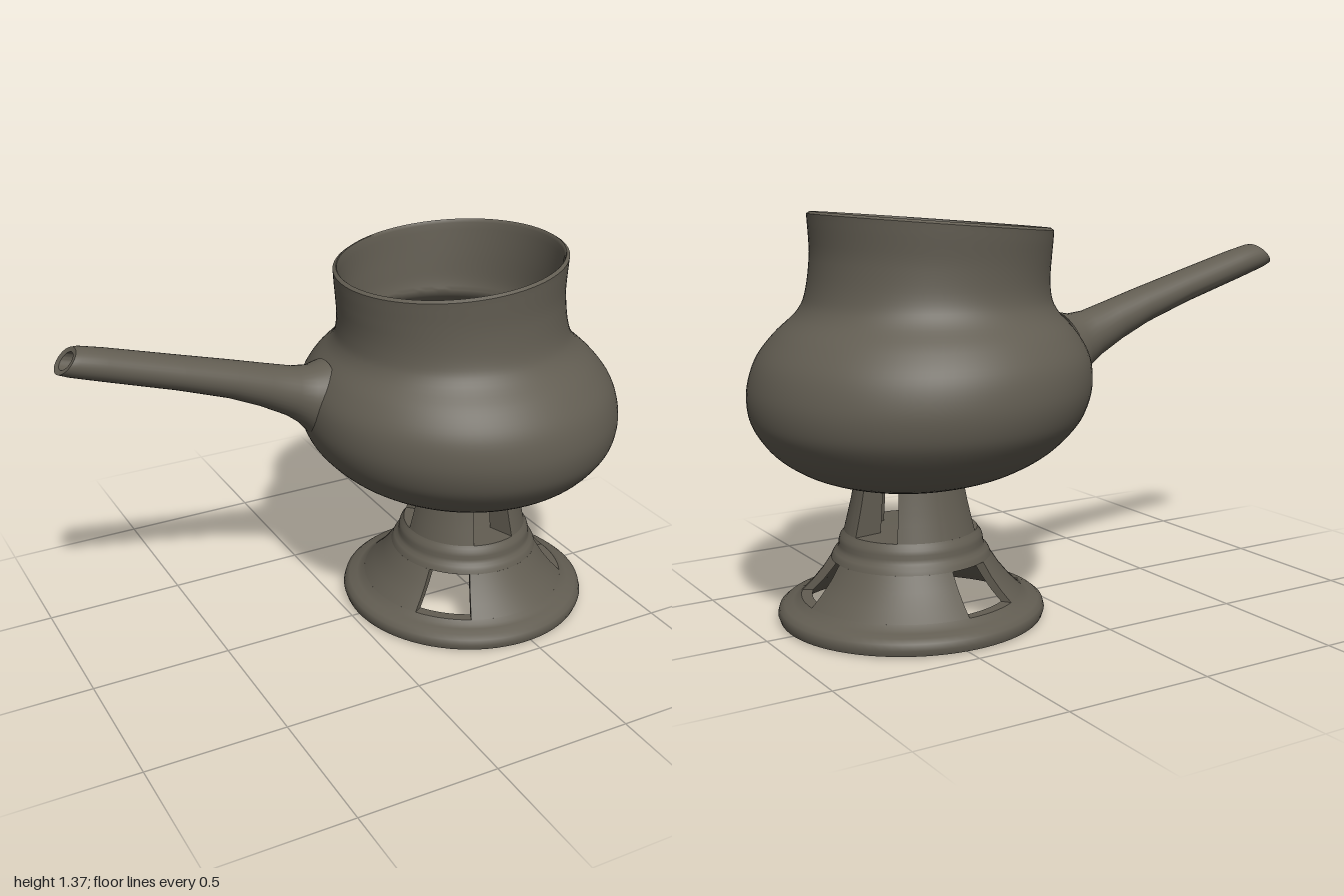
import * as THREE from 'three';
import { toCreasedNormals } from 'three/addons/utils/BufferGeometryUtils.js';

const clay = new THREE.MeshStandardMaterial({ color: 0x625d52, side: THREE.DoubleSide });
clay.name = 'dark clay';

const vec = ([x, y]) => new THREE.Vector2(x, y);
const smooth = (pts, n) => new THREE.SplineCurve(pts.map(vec)).getPoints(n);
const DEG = Math.PI / 180;

function part(name, geometry, crease = 0.7) {
  const mesh = new THREE.Mesh(toCreasedNormals(geometry, crease), clay);
  mesh.name = name;
  return mesh;
}

// Pot: lathed wall leaning towards the spout, with a slanted, slightly oval neck and an inner ledge below it
function makePot() {
  const outer = smooth([[0.182, 0.472], [0.25, 0.483], [0.36, 0.52], [0.46, 0.58], [0.53, 0.655],
    [0.562, 0.72], [0.572, 0.8], [0.553, 0.89], [0.5, 0.97], [0.428, 1.04], [0.398, 1.1],
    [0.389, 1.2], [0.394, 1.3], [0.396, 1.33]], 64);
  const neckInside = smooth([[0.389, 1.335], [0.38, 1.325], [0.37, 1.2], [0.364, 1.13], [0.356, 1.09]], 16);
  const bellyInside = smooth([[0.362, 1.07], [0.41, 1.01], [0.475, 0.945], [0.52, 0.87], [0.534, 0.8],
    [0.522, 0.71], [0.475, 0.63], [0.38, 0.55], [0.28, 0.515], [0.2, 0.503], [0.182, 0.49]], 44);
  const geo = new THREE.LatheGeometry([...outer, ...neckInside, ...bellyInside, outer[0].clone()], 96);
  const p = geo.attributes.position;
  for (let i = 0; i < p.count; i++) {
    const x = p.getX(i), y = p.getY(i), h = Math.min(y - 0.47, 0.75);
    const slant = THREE.MathUtils.smoothstep(y, 1.08, 1.32);
    const oval = 1 + 0.03 * THREE.MathUtils.smoothstep(y, 0.98, 1.12);
    p.setX(i, x * oval + 0.475 - 0.17 * h + 0.064 * h * h);
    p.setY(i, y + 0.085 * x * slant);
    p.setZ(i, p.getZ(i) - 0.006 * slant);
  }
  return part('pot', geo);
}

// Spout: elliptical rings [x, y, z, upX, upY, halfWidth], from root to tip and back into the bore
function makeSpout() {
  const rings = [
    [-0.1, 0.888, -0.076, 0.038, 0.125, 0.128],
    [-0.145, 0.904, -0.078, 0.028, 0.099, 0.099],
    [-0.2, 0.927, -0.08, 0.022, 0.083, 0.087],
    [-0.3, 0.969, -0.08, 0.02, 0.07, 0.08],
    [-0.42, 1.014, -0.08, 0.017, 0.061, 0.075],
    [-0.6, 1.071, -0.082, 0.015, 0.055, 0.07],
    [-0.85, 1.145, -0.088, 0.016, 0.051, 0.064],
    [-0.94, 1.171, -0.09, 0.028, 0.044, 0.061],
    [-0.965, 1.178, -0.09, 0.035, 0.0375, 0.056],
    [-0.962, 1.177, -0.09, 0.023, 0.025, 0.034],
    [-0.9, 1.158, -0.089, 0.012, 0.03, 0.032],
    [-0.7, 1.1, -0.085, 0.008, 0.026, 0.03],
    [-0.69, 1.098, -0.085, 0, 0, 0],
  ];
  const n = 32, pos = [], idx = [];
  rings.forEach(([x, y, z, ux, uy, w], r) => {
    for (let i = 0; i < n; i++) {
      const a = (i / n) * Math.PI * 2, s = Math.sin(a);
      pos.push(x + ux * s, y + uy * s, z + w * Math.cos(a));
      if (r === rings.length - 1) continue;
      const a0 = r * n + i, a1 = r * n + (i + 1) % n;
      idx.push(a0, a1, a0 + n, a1, a1 + n, a0 + n);
    }
  });
  const geo = new THREE.BufferGeometry();
  geo.setAttribute('position', new THREE.Float32BufferAttribute(pos, 3));
  geo.setIndex(idx);
  return part('spout', geo, 0.9);
}

// Closed ring of wall between an outer and an inner profile, both listed bottom to top
const outline = (outer, inner) => [...outer, ...inner.slice().reverse(), outer[0]].map(vec);

function wallRing(name, outer, inner) {
  return part(name, new THREE.LatheGeometry(outline(outer, inner), 80));
}

// Same wall pierced by windows centred at the given angles (degrees from +x towards +z, ascending)
function piercedRing(name, outer, inner, centres, half) {
  const group = new THREE.Group();
  group.name = name;
  const pts = outline(outer, inner);
  centres.forEach((c, i) => {
    const from = c + half;
    const to = (i + 1 < centres.length ? centres[i + 1] : centres[0] + 360) - half;
    group.add(part('pillar', new THREE.LatheGeometry(pts, 24, (90 - to) * DEG, (to - from) * DEG)));
    for (const angle of [from, to]) {
      const jamb = part('windowJamb', new THREE.ShapeGeometry(new THREE.Shape(pts.slice(0, -1))));
      jamb.rotation.y = -angle * DEG;
      group.add(jamb);
    }
  });
  return group;
}

function makeStand() {
  const stand = new THREE.Group();
  stand.name = 'stand';
  stand.position.set(0.47, 0, 0.005);
  stand.add(
    // rolled foot
    wallRing('foot',
      [[0.425, 0.003], [0.444, 0.008], [0.451, 0.028], [0.446, 0.048], [0.43, 0.061], [0.4, 0.067], [0.385, 0.075], [0.372, 0.087]],
      [[0.425, 0.003], [0.4, 0.022], [0.367, 0.053], [0.335, 0.087]]),
    // lower openwork
    piercedRing('lowerOpenwork',
      [[0.372, 0.087], [0.335, 0.125], [0.3, 0.168], [0.27, 0.215]],
      [[0.335, 0.087], [0.298, 0.125], [0.264, 0.168], [0.232, 0.215]], [15, 132, 252], 16),
    // ridged collar, closed by the vaulted floor between the two tiers
    part('collarAndFloor', new THREE.LatheGeometry([[0, 0.294], [0.08, 0.29], [0.16, 0.275], [0.208, 0.247],
      [0.232, 0.215], [0.27, 0.215], [0.265, 0.228], [0.259, 0.238], [0.248, 0.246], [0.244, 0.26],
      [0.243, 0.274], [0.239, 0.288], [0.231, 0.298], [0.225, 0.308], [0.1, 0.308], [0, 0.314]].map(vec), 80)),
    // upper openwork with deep pillars, open to the pot above
    piercedRing('upperOpenwork',
      [[0.225, 0.308], [0.212, 0.36], [0.2, 0.41], [0.19, 0.46], [0.184, 0.49]],
      [[0.125, 0.308], [0.12, 0.36], [0.116, 0.41], [0.113, 0.46], [0.115, 0.484]], [91, 205, 330], 21),
  );
  return stand;
}

export function createModel() {
  const model = new THREE.Group();
  model.name = 'spoutedPotOnStand';
  model.add(makePot(), makeSpout(), makeStand());
  return model;
}
